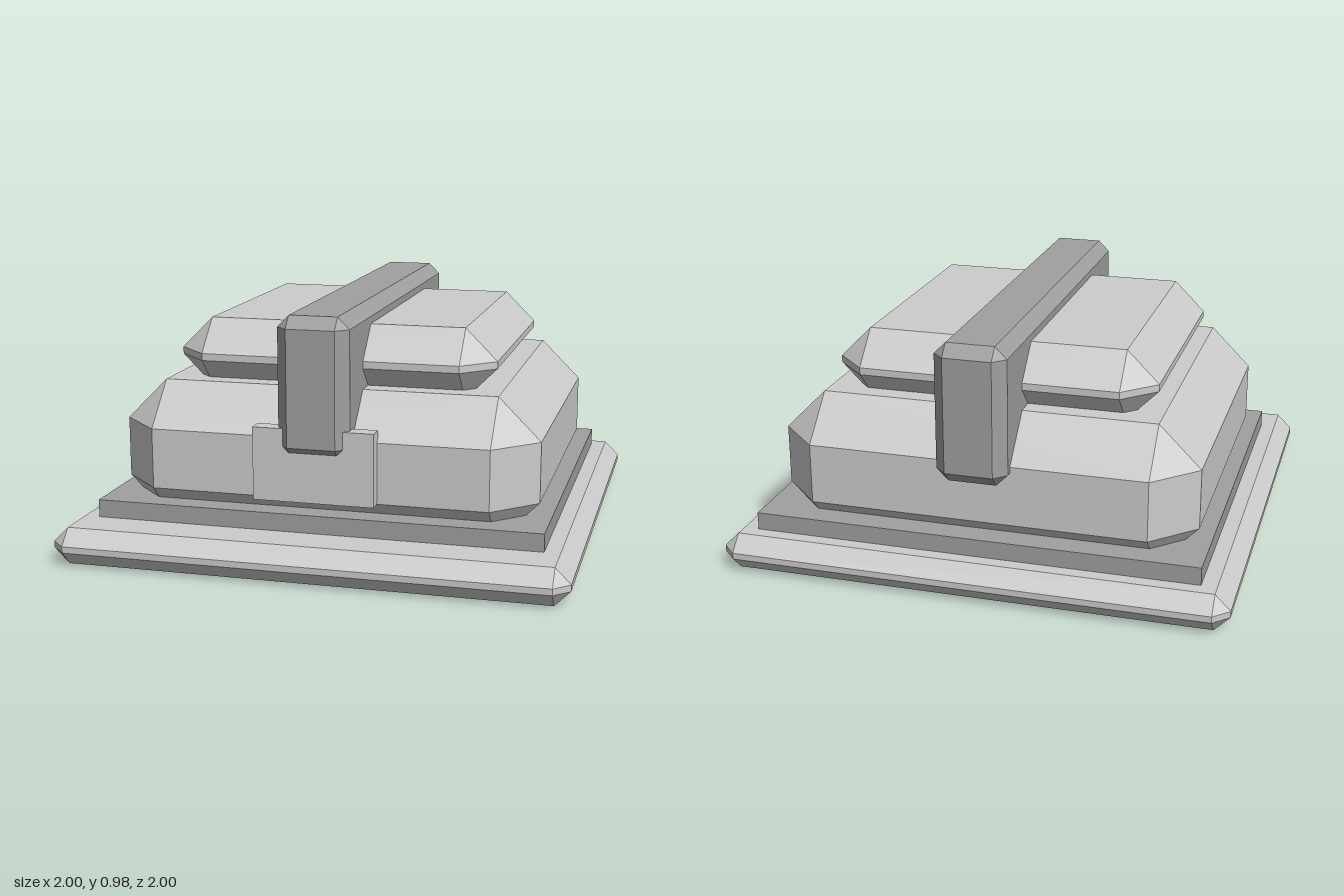
import * as THREE from 'three';
import { ConvexGeometry } from 'three/addons/geometries/ConvexGeometry.js';

// Box between two corners with every edge chamfered by b
function chamferBox([x0, y0, z0], [x1, y1, z1], b) {
  const points = [];
  for (const i of [0, 1]) for (const j of [0, 1]) for (const k of [0, 1]) {
    const corner = [i ? x1 : x0, j ? y1 : y0, k ? z1 : z0];
    const inner = [i ? x1 - b : x0 + b, j ? y1 - b : y0 + b, k ? z1 - b : z0 + b];
    for (let axis = 0; axis < 3; axis++) {
      const p = inner.slice();
      p[axis] = corner[axis];
      points.push(new THREE.Vector3(...p));
    }
  }
  return new ConvexGeometry(points);
}

// Plain box between two corners
function plainBox(a, c) {
  const g = new THREE.BoxGeometry(c[0] - a[0], c[1] - a[1], c[2] - a[2]);
  return g.translate((a[0] + c[0]) / 2, (a[1] + c[1]) / 2, (a[2] + c[2]) / 2);
}

export function createModel() {
  const model = new THREE.Group();
  const light = new THREE.MeshStandardMaterial({ color: 0xcccccc });
  light.name = 'light grey';
  const dark = new THREE.MeshStandardMaterial({ color: 0xa0a0a0 });
  dark.name = 'mid grey';

  const add = (name, geometry, material) => {
    const mesh = new THREE.Mesh(geometry, material);
    mesh.name = name;
    model.add(mesh);
  };

  // Stacked tiers, bottom to top
  add('base', chamferBox([-1, 0, -1], [1, 0.145, 1], 0.06), light);
  add('plinth', plainBox([-0.88, 0.12, -0.885], [0.88, 0.215, 0.782]), dark);
  add('lowerTier', chamferBox([-0.832, 0.1, -0.832], [0.832, 0.67, 0.735], 0.166), light);
  add('upperTier', chamferBox([-0.64, 0.625, -0.667], [0.64, 0.905, 0.57], 0.126), light);

  // Strap running over the tiers from front to back
  add('strap', chamferBox([-0.14, 0.435, -0.903], [0.14, 0.98, 0.808], 0.046), dark);

  // Catch plate under the front end of the strap
  add('frontPlate', plainBox([-0.237, 0.265, 0.72], [0.237, 0.55, 0.785]), light);

  return model;
}
